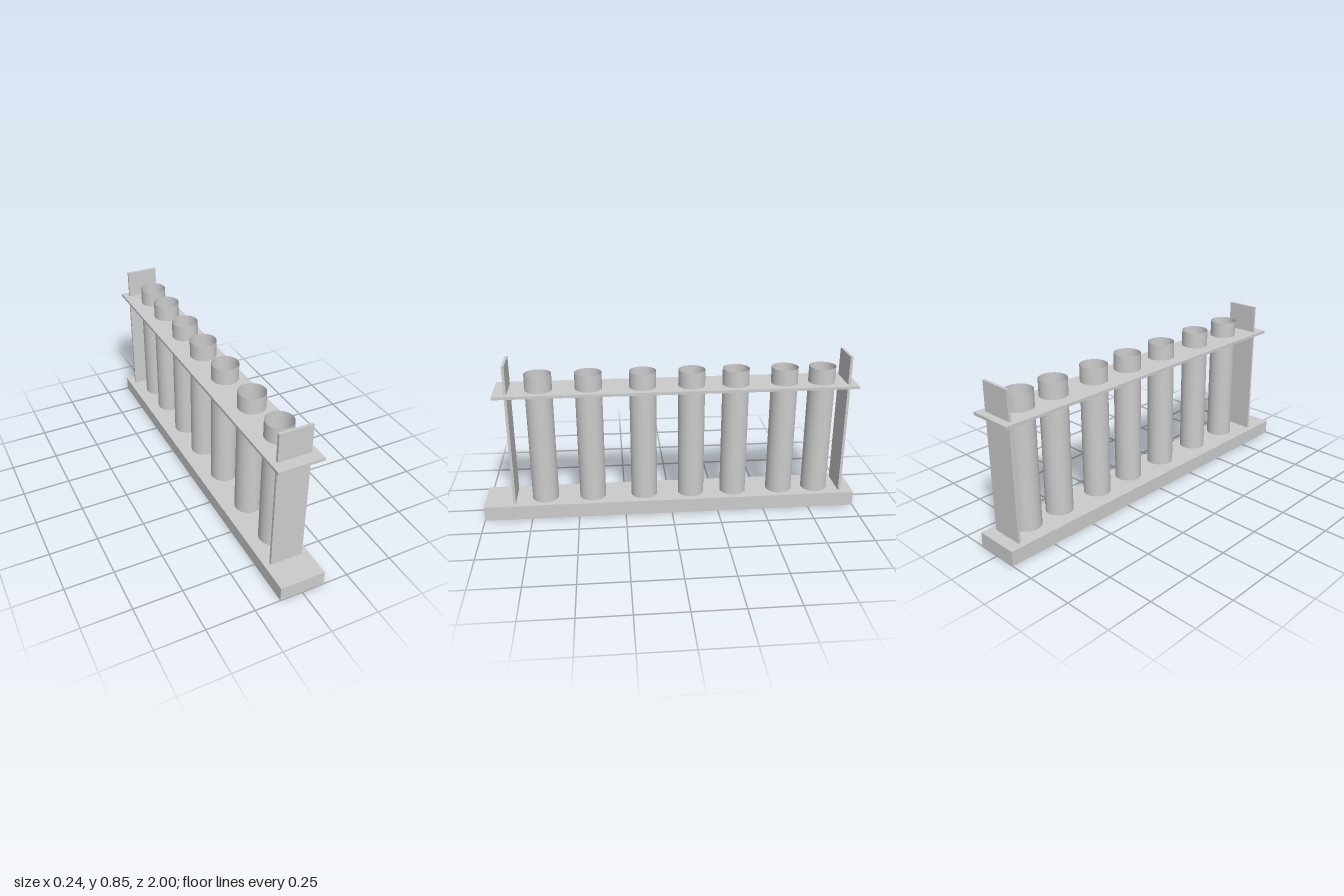
import * as THREE from 'three';

const WIDTH = 0.236;
const BASE_TOP = 0.078;
const TUBE_X = 0.017, TUBE_R = 0.07, TUBE_TOP = 0.78;
const TUBE_Z = [0.68, 0.425, 0.145, -0.11, -0.342, -0.6, -0.8];

export function createModel() {
  const group = new THREE.Group();
  const grey = new THREE.MeshStandardMaterial({ color: 0xcccccc });
  const greyThin = new THREE.MeshStandardMaterial({ color: 0xcccccc, side: THREE.DoubleSide });

  const add = (name, geometry, material, x, y, z) => {
    const mesh = new THREE.Mesh(geometry, material);
    mesh.name = name;
    mesh.position.set(x, y, z);
    group.add(mesh);
    return mesh;
  };

  // Base slab
  add('base', new THREE.BoxGeometry(WIDTH, BASE_TOP, 2), grey, 0, BASE_TOP / 2, 0);

  // End uprights
  const uprightTop = 0.845;
  const uprightHeight = uprightTop - BASE_TOP;
  for (const [name, z] of [['frontUpright', 0.842], ['backUpright', -0.93]]) {
    add(name, new THREE.BoxGeometry(0.172, uprightHeight, 0.014), grey,
      -0.001, BASE_TOP + uprightHeight / 2, z);
  }

  // Holding plate with a round hole for each tube; shape y becomes -z
  const front = 0.908, back = -0.976, half = WIDTH / 2;
  const plate = new THREE.Shape([
    new THREE.Vector2(-half, -front), new THREE.Vector2(half, -front),
    new THREE.Vector2(half, -back), new THREE.Vector2(-half, -back),
  ]);
  for (const z of TUBE_Z) {
    plate.holes.push(new THREE.Path().absarc(TUBE_X, -z, TUBE_R, 0, Math.PI * 2, true));
  }
  const plateGeometry = new THREE.ExtrudeGeometry(plate, {
    depth: 0.015, bevelEnabled: false, curveSegments: 48,
  });
  plateGeometry.rotateX(-Math.PI / 2);
  add('holdingPlate', plateGeometry, grey, 0, 0.68, 0);

  // Open, thin-walled tubes
  const tubeHeight = TUBE_TOP - BASE_TOP;
  const tubeGeometry = new THREE.CylinderGeometry(TUBE_R, TUBE_R, tubeHeight, 48, 1, true);
  TUBE_Z.forEach((z, i) => {
    add(`tube${i + 1}`, tubeGeometry, greyThin, TUBE_X, BASE_TOP + tubeHeight / 2, z);
  });

  return group;
}
